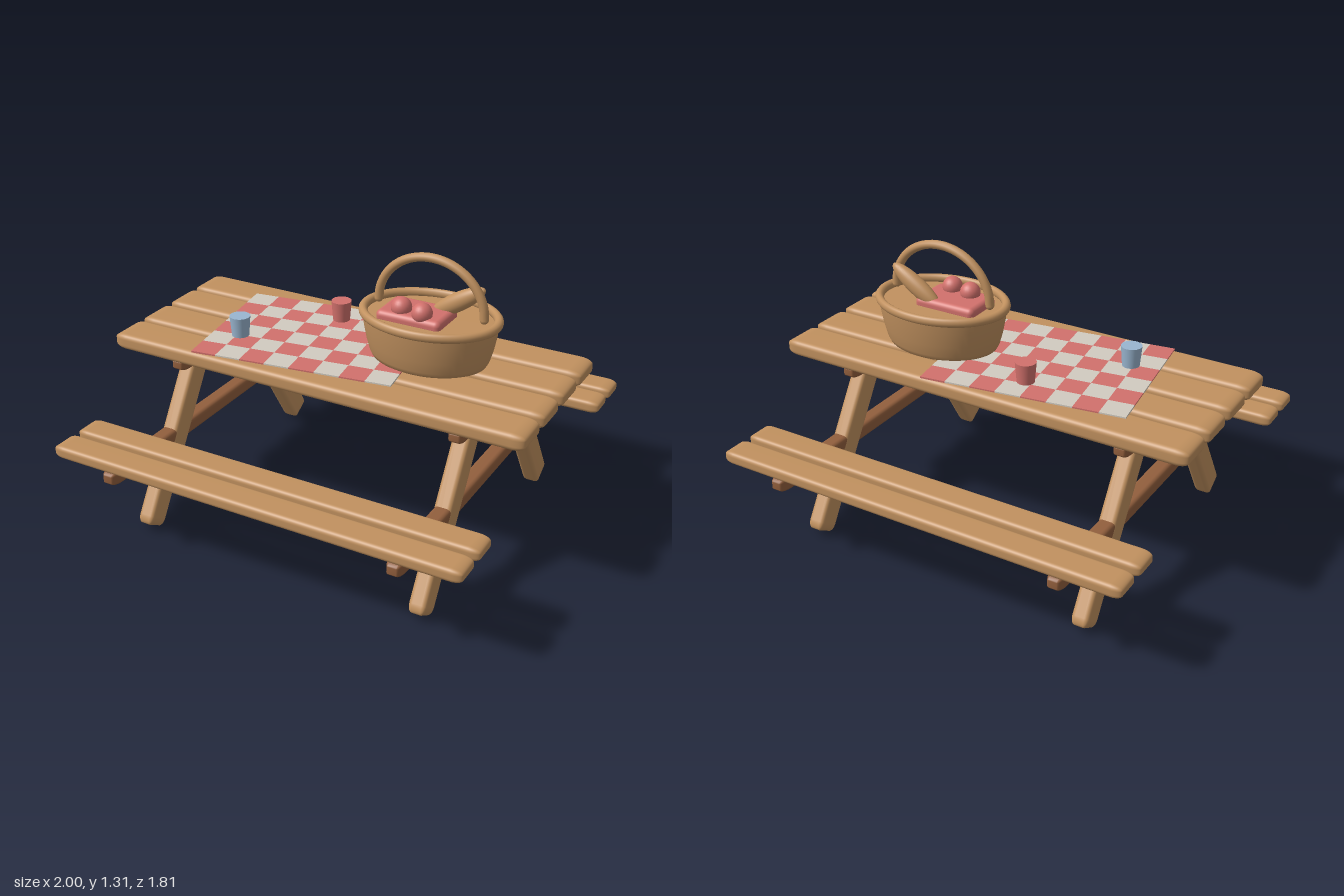
import * as THREE from 'three';
import { mergeGeometries, mergeVertices } from 'three/addons/utils/BufferGeometryUtils.js';
import { RoundedBoxGeometry } from 'three/addons/geometries/RoundedBoxGeometry.js';

const material = (name, color) => {
  const m = new THREE.MeshStandardMaterial({ color });
  m.name = name;
  return m;
};

// Timber along x: soft edges, with the last stretch of each end drawn out into a longer curve
function timberGeometry(length, height, depth, radius = 0.02, end = 0.05) {
  const geo = new RoundedBoxGeometry(length, height, depth, 4, radius);
  const pos = geo.attributes.position;
  const half = length / 2;
  for (let i = 0; i < pos.count; i++) {
    const x = pos.getX(i);
    const t = (Math.abs(x) - (half - radius)) / radius;
    if (t > -0.001) pos.setX(i, Math.sign(x) * (half - end + end * t));
  }
  geo.deleteAttribute('uv');
  geo.deleteAttribute('normal');
  const smooth = mergeVertices(geo, 1e-5);
  smooth.computeVertexNormals();
  return smooth;
}

export function createModel() {
  const wood = material('wood', 0xc1915f);
  const darkWood = material('dark wood', 0x925f3d);
  const cream = material('cream cloth', 0xd2cbc0);
  const red = material('soft red', 0xd2716c);
  const blue = material('pale blue', 0x9ab6d0);

  const model = new THREE.Group();
  model.name = 'picnicTable';
  const add = (name, geo, mat, x, y, z, parent = model) => {
    const mesh = new THREE.Mesh(geo, mat);
    mesh.name = name;
    mesh.position.set(x, y, z);
    parent.add(mesh);
    return mesh;
  };

  // Table top and benches
  const topPlank = timberGeometry(2, 0.075, 0.186, 0.024, 0.06);
  for (const z of [-0.315, -0.107, 0.107, 0.315]) add('tablePlank', topPlank, wood, 0, 0.792, z);
  const seatPlank = timberGeometry(1.95, 0.06, 0.132, 0.02, 0.05);
  for (const side of [-1, 1]) {
    for (const z of [0.677, 0.838]) add('seatPlank', seatPlank, wood, 0, 0.467, side * z);
  }

  // End frames: two cross beams and a pair of splayed legs each
  const topBeam = timberGeometry(0.73, 0.065, 0.076, 0.02, 0.06);
  const seatBeam = timberGeometry(1.8, 0.07, 0.076, 0.02, 0.07);
  const foot = new THREE.Vector2(0.64, 0.03);
  const head = new THREE.Vector2(0.205, 0.725);
  const leg = timberGeometry(foot.distanceTo(head), 0.115, 0.08, 0.02, 0.04);
  const tilt = Math.atan2(head.y - foot.y, foot.x - head.x);
  for (const x of [-0.685, 0.685]) {
    const frame = new THREE.Group();
    frame.name = 'endFrame';
    frame.position.x = x;
    frame.rotation.y = Math.PI / 2;
    model.add(frame);
    add('topBeam', topBeam, darkWood, 0, 0.721, 0, frame);
    add('seatBeam', seatBeam, darkWood, 0, 0.405, 0, frame);
    for (const side of [-1, 1]) {
      const l = add('leg', leg, wood, side * (foot.x + head.x) / 2, (foot.y + head.y) / 2, 0, frame);
      l.rotation.z = -side * tilt;
    }
  }

  // Chequered cloth, one thin tile per square
  const cloth = new THREE.Group();
  cloth.name = 'cloth';
  cloth.position.set(-0.16, 0.832, -0.004);
  cloth.rotation.y = 0.14;
  model.add(cloth);
  const columns = 8, rows = 6, w = 0.93 / columns, d = 0.688 / rows;
  const tiles = [[], []];
  for (let i = 0; i < columns; i++) {
    for (let j = 0; j < rows; j++) {
      const tile = new THREE.BoxGeometry(w, 0.008, d);
      tile.translate((i + 0.5 - columns / 2) * w, 0, (j + 0.5 - rows / 2) * d);
      tiles[(i + j) % 2].push(tile);
    }
  }
  add('creamSquares', mergeGeometries(tiles[0]), cream, 0, 0, 0, cloth);
  add('redSquares', mergeGeometries(tiles[1]), red, 0, 0, 0, cloth);

  // Cups
  const cup = new THREE.CylinderGeometry(0.047, 0.039, 0.095, 32);
  add('blueCup', cup, blue, -0.475, 0.883, 0.155);
  add('redCup', cup, red, -0.16, 0.883, -0.215);

  // Oval basket
  const basket = new THREE.Group();
  basket.name = 'basket';
  basket.position.set(0.367, 0.83, -0.056);
  model.add(basket);
  const profile = [[0, 0], [0.245, 0], [0.262, 0.008], [0.273, 0.028], [0.288, 0.08], [0.302, 0.15], [0.308, 0.205]]
    .map(([x, y]) => new THREE.Vector2(x, y));
  const oval = 0.755;
  add('basketBody', new THREE.LatheGeometry(profile, 64), wood, 0, 0, 0, basket).scale.z = oval;
  const rim = add('basketRim', new THREE.TorusGeometry(0.304, 0.021, 14, 64).rotateX(Math.PI / 2), wood, 0, 0.206, 0, basket);
  rim.scale.z = oval;
  const lining = add('basketLining', new THREE.CircleGeometry(0.302, 64).rotateX(-Math.PI / 2), wood, 0, 0.192, 0, basket);
  lining.scale.z = oval;

  // Arched handle with rounded ends
  const arch = [];
  for (let i = 0; i <= 16; i++) {
    const a = (Math.PI * i) / 16;
    arch.push(new THREE.Vector3(0.25 * Math.cos(a), 0.235 + 0.23 * Math.sin(a), 0));
  }
  add('handle', new THREE.TubeGeometry(new THREE.CatmullRomCurve3(arch), 48, 0.02, 12), wood, 0, 0, 0, basket);
  for (const x of [-0.25, 0.25]) add('handleEnd', new THREE.SphereGeometry(0.02, 12, 8), wood, x, 0.235, 0, basket);

  // Basket contents
  add('foldedNapkin', new RoundedBoxGeometry(0.305, 0.06, 0.205, 4, 0.025), red, 0.312, 1.03, -0.036);
  const fruit = new THREE.SphereGeometry(0.046, 24, 16);
  add('fruit', fruit, red, 0.26, 1.073, 0.008);
  add('fruit', fruit, red, 0.366, 1.073, 0.025);
  const loaf = add('loaf', new THREE.SphereGeometry(1, 28, 18), wood, 0.47, 1.097, -0.104);
  loaf.scale.set(0.15, 0.042, 0.037);
  loaf.rotation.z = 0.58;

  return model;
}
